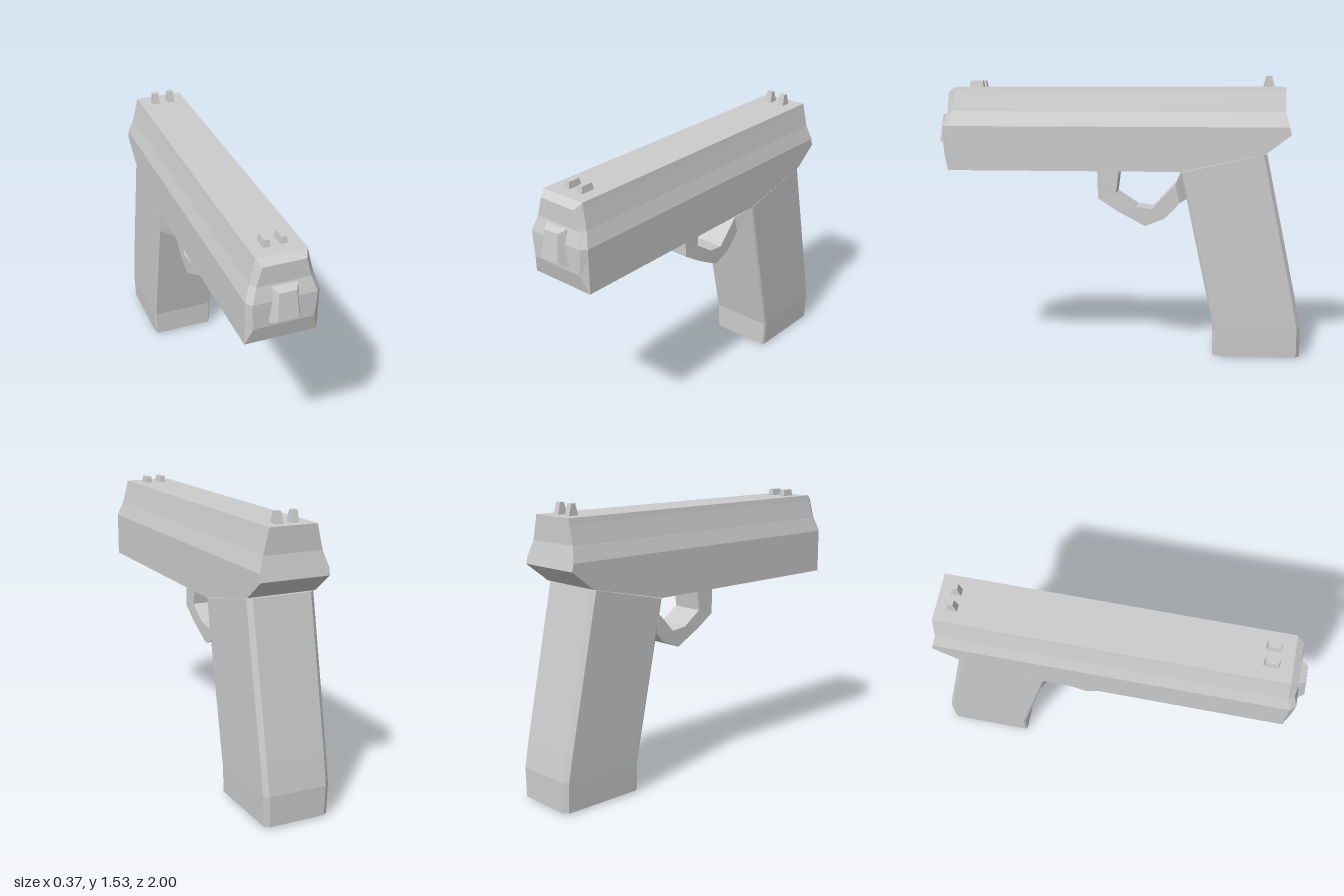
import * as THREE from 'three';

const material = new THREE.MeshStandardMaterial({ color: 0xcccccc, flatShading: true });

// Joins equal-sized convex loops of [x, y, z] points into a closed, flat-shaded solid.
function loft(name, loops) {
  const n = loops[0].length;
  const tris = [];
  for (let i = 0; i < loops.length - 1; i++) {
    const a = loops[i], b = loops[i + 1];
    for (let j = 0; j < n; j++) {
      const k = (j + 1) % n;
      tris.push([a[j], a[k], b[k]], [a[j], b[k], b[j]]);
    }
  }
  const first = loops[0], last = loops[loops.length - 1];
  for (let j = 1; j < n - 1; j++) {
    tris.push([first[0], first[j + 1], first[j]], [last[0], last[j], last[j + 1]]);
  }
  // Turn the faces outward when the signed volume is negative
  const v = (p) => new THREE.Vector3(...p);
  const volume = tris.reduce((s, [a, b, c]) => s + v(a).dot(v(b).cross(v(c))), 0);
  if (volume < 0) tris.forEach((t) => t.reverse());
  const geometry = new THREE.BufferGeometry();
  geometry.setAttribute('position', new THREE.Float32BufferAttribute(tris.flat(2), 3));
  geometry.computeVertexNormals();
  const mesh = new THREE.Mesh(geometry, material);
  mesh.name = name;
  return mesh;
}

// Rectangle at height y
const rect = (y, x0, x1, z0, z1) => [[x0, y, z1], [x1, y, z1], [x1, y, z0], [x0, y, z0]];

// Slide: horizontal loops with chamfered front corners
function createSlide() {
  const levels = [ // y, half width, side front z, nose half width, nose z, back z
    [1.02, 0.187, 0.925, 0.184, 0.926, -0.35],
    [1.12, 0.187, 0.925, 0.155, 0.953, -0.80],
    [1.22, 0.187, 0.925, 0.162, 0.955, -0.93],
    [1.26, 0.187, 0.925, 0.163, 0.955, -0.92],
    [1.34, 0.160, 0.90, 0.137, 0.932, -0.90],
    [1.44, 0.136, 0.892, 0.11, 0.93, -0.90],
    [1.47, 0.130, 0.89, 0.128, 0.891, -0.90],
  ];
  return loft('slide', levels.map(([y, w, zs, nw, zn, zb]) => [
    [-nw, y, zn], [nw, y, zn], [w, y, zs], [w, y, zb], [-w, y, zb], [-w, y, zs],
  ]));
}

// Grip: raked loops with narrow chamfers on the vertical edges and a sloping top
function createGrip() {
  const levels = [ // front y, front z, back y, back z, half width
    [0.01, -0.53, 0.01, -1.0, 0.178],
    [0.16, -0.53, 0.17, -1.0, 0.184],
    [0.31, -0.56, 0.32, -0.972, 0.185],
    [1.018, -0.348, 1.115, -0.805, 0.186],
  ];
  levels[2][1] = -0.53 + 0.182 * (0.31 - 0.16) / (1.018 - 0.16);
  return loft('grip', levels.map(([yf, zf, yb, zb, w]) => {
    const f = w - 0.008, b = w - 0.025, c = 0.012;
    return [
      [-f, yf, zf], [f, yf, zf], [w, yf, zf - c], [w, yb, zb + 0.02],
      [b, yb, zb], [-b, yb, zb], [-w, yb, zb + 0.02], [-w, yf, zf - c],
    ];
  }));
}

// Trigger guard: a bent band that flares out where it meets the grip
function createGuard() {
  const stations = [ // outer z, outer y, inner z, inner y, half width
    [0.115, 1.025, -0.005, 1.025, 0.09],
    [0.11, 0.86, 0.012, 0.89, 0.092],
    [0.0, 0.79, -0.10, 0.815, 0.095],
    [-0.15, 0.71, -0.19, 0.805, 0.095],
    [-0.26, 0.755, -0.245, 0.865, 0.095],
    [-0.34, 0.84, -0.315, 0.94, 0.095],
    [-0.38, 0.875, -0.35, 1.018, 0.182],
  ];
  return loft('triggerGuard', stations.map(([zo, yo, zi, yi, w]) => [
    [-w, yo, zo], [w, yo, zo], [w, yi, zi], [-w, yi, zi],
  ]));
}

export function createModel() {
  const model = new THREE.Group();
  model.add(createSlide(), createGrip(), createGuard());

  // Tapered block on the nose
  model.add(loft('muzzleBlock', [
    [[-0.08, 1.14, 0.93], [0.08, 1.14, 0.93], [0.065, 1.33, 0.92], [-0.065, 1.33, 0.92]],
    [[-0.08, 1.14, 0.956], [0.08, 1.14, 0.956], [0.065, 1.33, 0.94], [-0.065, 1.33, 0.94]],
    [[-0.055, 1.17, 1.0], [0.055, 1.17, 1.0], [0.045, 1.315, 0.98], [-0.045, 1.315, 0.98]],
  ]));

  // Plate under the grip
  model.add(loft('basePlate', [
    rect(0, -0.16, 0.16, -0.965, -0.565),
    rect(0.015, -0.16, 0.16, -0.965, -0.565),
  ]));

  // Paired sight posts at both ends of the slide
  for (const side of [-1, 1]) {
    const x = (inner, outer) => [side * inner, side * outer].sort((a, b) => a - b);
    model.add(loft('frontSight', [
      rect(1.465, ...x(0.024, 0.062), 0.745, 0.825),
      rect(1.505, ...x(0.030, 0.056), 0.752, 0.818),
    ]));
    model.add(loft('rearSight', [
      rect(1.465, ...x(0.024, 0.062), -0.845, -0.788),
      rect(1.53, ...x(0.029, 0.060), -0.828, -0.803),
    ]));
  }
  return model;
}
